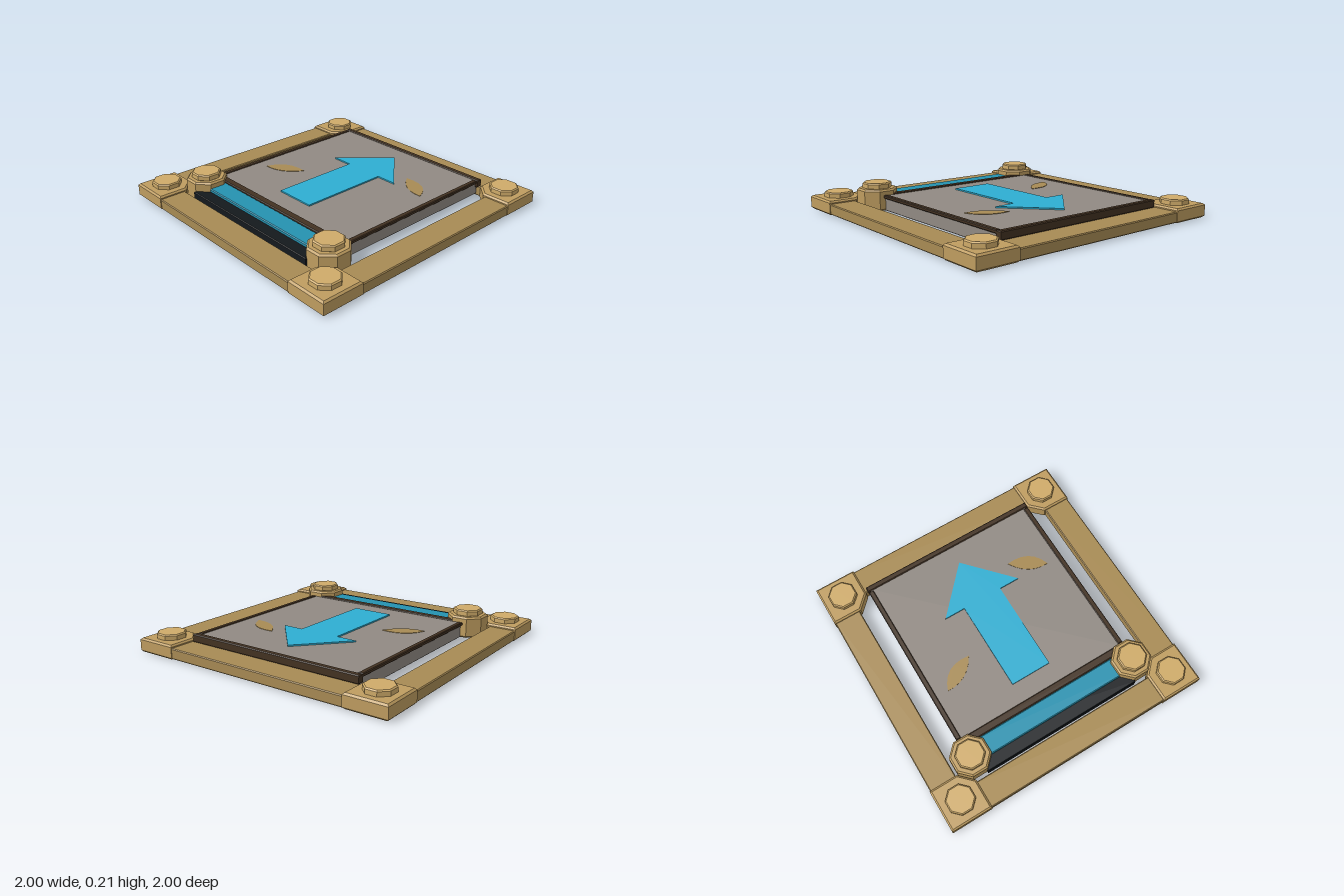
import * as THREE from 'three';

const paint = (color) => new THREE.MeshStandardMaterial({ color, flatShading: true });

// Bevelled slab from an outline of [x, z] points, between two heights.
function slab(name, outline, y0, y1, bevel, material) {
  const shape = new THREE.Shape(outline.map(([x, z]) => new THREE.Vector2(x, -z)));
  const geometry = new THREE.ExtrudeGeometry(shape, {
    depth: y1 - y0 - 2 * bevel,
    bevelEnabled: bevel > 0,
    bevelThickness: bevel,
    bevelSize: bevel,
    bevelOffset: -bevel,
    bevelSegments: 1,
  });
  geometry.translate(0, 0, bevel);
  geometry.rotateX(-Math.PI / 2);
  const mesh = new THREE.Mesh(geometry, material);
  mesh.position.y = y0;
  mesh.name = name;
  return mesh;
}

const rect = (x0, x1, z0, z1) => [[x0, z0], [x0, z1], [x1, z1], [x1, z0]];

// Octagon with flat sides facing the axes; r is the distance to a side.
function octagon(cx, cz, r) {
  const points = [];
  for (let i = 0; i < 8; i++) {
    const a = ((i + 0.5) * Math.PI) / 4;
    const d = r / Math.cos(Math.PI / 8);
    points.push([cx + Math.cos(a) * d, cz + Math.sin(a) * d]);
  }
  return points;
}

export function createModel() {
  const model = new THREE.Group();
  model.name = 'directionPad';
  const wood = paint(0xa88b54);
  const block = paint(0xbf9d60);
  const cap = paint(0xcfab69);
  const stone = paint(0x918a83);
  const trim = paint(0x433222);
  const black = paint(0x14191d);
  const arrowBlue = paint(0x2eaed2);
  const barBlue = paint(0x2592b0);
  const add = (...args) => model.add(slab(...args));

  // Outer frame
  for (const s of [-1, 1]) {
    const [a, b] = s < 0 ? [-0.995, -0.8] : [0.8, 0.995];
    add('frameSideBar', rect(a, b, -0.75, 0.75), 0.005, 0.08, 0.006, wood);
    add('frameCrossBar', rect(-0.75, 0.75, a, b), 0.005, 0.08, 0.006, wood);
  }

  // Corner blocks with octagonal studs
  for (const sx of [-1, 1]) {
    for (const sz of [-1, 1]) {
      const corner = [[0.695, 1], [0.695, 0.79], [0.79, 0.695], [1, 0.695], [1, 1]];
      add('cornerBlock', corner.map(([x, z]) => [x * sx, z * sz]), 0, 0.1, 0.012, block);
      add('cornerStud', octagon(0.85 * sx, 0.85 * sz, 0.095), 0.09, 0.138, 0.008, cap);
    }
  }

  // Stone panel and its dark edging
  add('stonePanel', rect(-0.66, 0.66, -0.79, 0.53), 0.02, 0.13, 0.004, stone);
  for (const s of [-1, 1]) {
    add('sideEdging', rect(0.66 * s - 0.018, 0.66 * s + 0.018, -0.765, 0.5), 0.112, 0.136, 0.005, trim);
  }
  add('backEdging', rect(-0.68, 0.68, -0.812, -0.77), 0.08, 0.137, 0.006, trim);
  add('frontEdging', rect(-0.6, 0.6, 0.505, 0.56), 0.08, 0.137, 0.006, trim);

  // Front light bar on its black base
  add('lightBarBase', rect(-0.6, 0.6, 0.52, 0.785), 0.02, 0.105, 0.005, black);
  add('lightBar', rect(-0.57, 0.57, 0.56, 0.7), 0.1, 0.128, 0.006, barBlue);

  // Octagonal posts at the ends of the light bar
  for (const s of [-1, 1]) {
    add('post', octagon(0.65 * s, 0.64, 0.133), 0.02, 0.172, 0.012, block);
    add('postCap', octagon(0.65 * s, 0.64, 0.096), 0.165, 0.212, 0.008, cap);
  }

  // Arrow pointing to the back
  add('arrow', [[0, -0.63], [-0.305, -0.297], [-0.15, -0.297], [-0.15, 0.365],
    [0.15, 0.365], [0.15, -0.297], [0.305, -0.297]], 0.12, 0.14, 0, arrowBlue);

  // Leaf inlays: two arcs between the tips
  const upper = new THREE.QuadraticBezierCurve(
    new THREE.Vector2(0.302, -0.438), new THREE.Vector2(0.5, -0.465), new THREE.Vector2(0.555, -0.29));
  const lower = new THREE.QuadraticBezierCurve(
    new THREE.Vector2(0.555, -0.29), new THREE.Vector2(0.39, -0.28), new THREE.Vector2(0.302, -0.438));
  const leaf = [...upper.getPoints(6), ...lower.getPoints(6).slice(1, -1)];
  add('leafInlay', leaf.map((p) => [p.x, p.y]), 0.12, 0.133, 0, wood);
  add('leafInlay', leaf.map((p) => [-p.x, p.y + 0.463]), 0.12, 0.133, 0, wood);

  return model;
}
